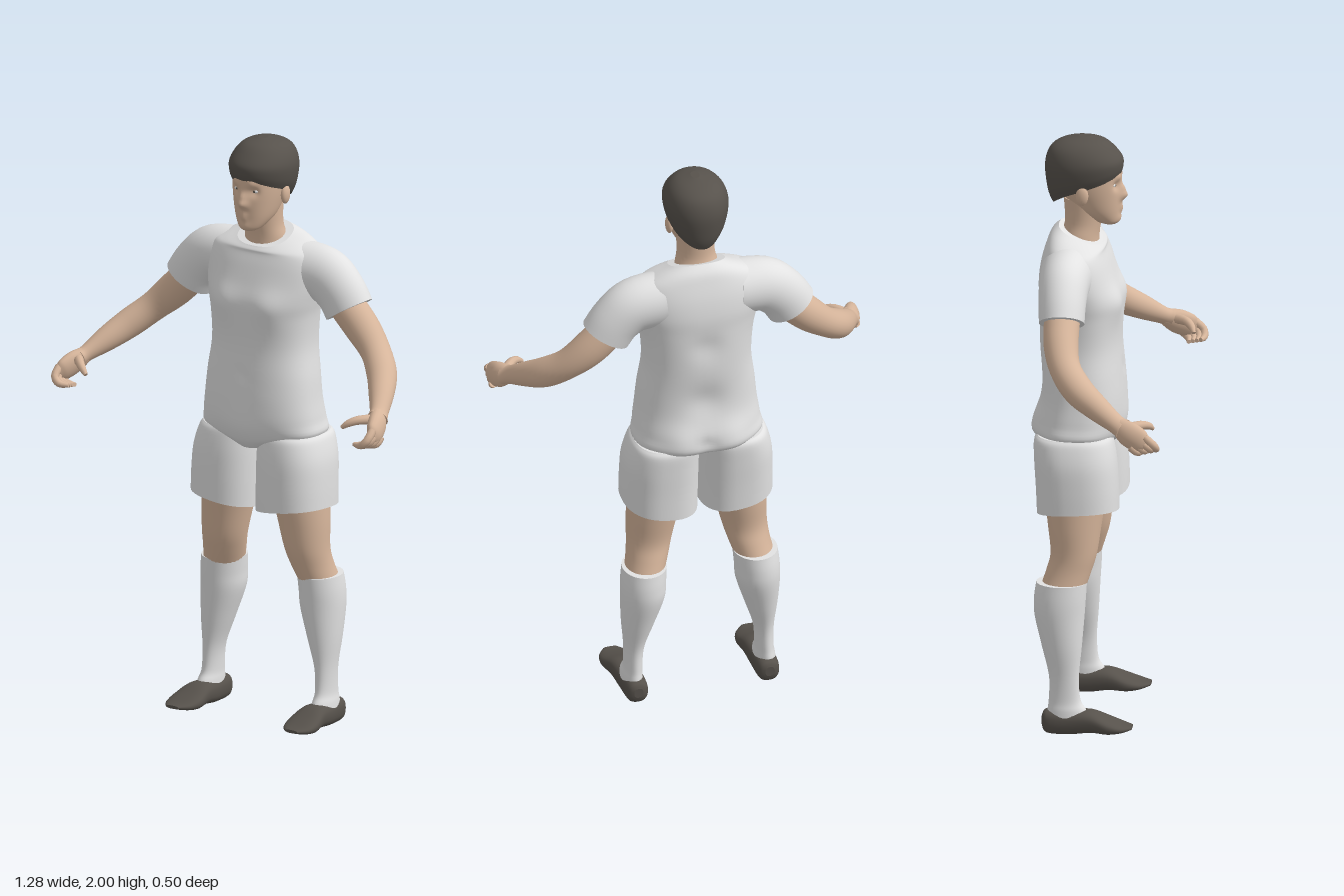
import * as THREE from 'three';

const mat = (name, color, side = THREE.FrontSide) => {
  const m = new THREE.MeshStandardMaterial({ color, side });
  m.name = name;
  return m;
};
const V = (x, y, z) => new THREE.Vector3(x, y, z);

// Smoothly subdivides a list of number rows (Catmull-Rom on every column)
function smooth(rows, n) {
  const out = [];
  const at = (i) => rows[Math.max(0, Math.min(rows.length - 1, i))];
  for (let i = 0; i < rows.length - 1; i++) {
    for (let k = 0; k < n; k++) {
      const t = k / n;
      out.push(rows[i].map((b, c) => {
        const a = at(i - 1)[c], d = at(i + 1)[c], e = at(i + 2)[c];
        return b + 0.5 * t * (d - a + t * (2 * a - 5 * b + 4 * d - e + t * (3 * (b - d) + e - a)));
      }));
    }
  }
  out.push(rows[rows.length - 1]);
  return out;
}

// Skins rings {c, u, v} (u x v points along the travel) and closes both ends
function loft(rings, seg = 32, e = 2) {
  const pos = [], idx = [];
  const pw = (x) => Math.sign(x) * Math.abs(x) ** (2 / e);
  const addRing = ({ c, u, v }) => {
    for (let j = 0; j < seg; j++) {
      const a = (j / seg) * Math.PI * 2;
      const p = c.clone().addScaledVector(u, pw(Math.cos(a))).addScaledVector(v, pw(Math.sin(a)));
      pos.push(p.x, p.y, p.z);
    }
  };
  rings.forEach(addRing);
  for (let i = 0; i < rings.length - 1; i++) {
    for (let j = 0; j < seg; j++) {
      const a = i * seg + j, b = i * seg + (j + 1) % seg;
      idx.push(a, b, a + seg, b, b + seg, a + seg);
    }
  }
  [rings[0], rings[rings.length - 1]].forEach((r, end) => {
    const s = pos.length / 3;
    addRing(r);
    pos.push(r.c.x, r.c.y, r.c.z);
    for (let j = 0; j < seg; j++) {
      const a = s + j, b = s + (j + 1) % seg;
      if (end) idx.push(a, b, s + seg); else idx.push(b, a, s + seg);
    }
  });
  const g = new THREE.BufferGeometry();
  g.setAttribute('position', new THREE.Float32BufferAttribute(pos, 3));
  g.setIndex(idx);
  g.computeVertexNormals();
  return g;
}

// Upright body from low to high: [y, centreX, halfWidth, zFront, zBack, slopeZ, slopeX]
function body(rows, seg, e, n = 5) {
  return loft(smooth(rows.map((r) => [...r, 0, 0].slice(0, 7)), n).map(([y, cx, hw, zf, zb, sz, sx]) => {
    const h = (zf - zb) / 2;
    return { c: V(cx, y, (zf + zb) / 2), u: V(0, sz * h, h), v: V(hw, sx * hw, 0) };
  }), seg, e);
}

// Limb along a path: [x, y, z, radius, radius along ref]
function limb(rows, seg, ref = V(0, 0, 1), n = 5) {
  const p = smooth(rows, n);
  const pt = (i) => V(...p[Math.max(0, Math.min(p.length - 1, i))].slice(0, 3));
  return loft(p.map((r, i) => {
    const t = pt(i + 1).sub(pt(i - 1)).normalize();
    const v = ref.clone().addScaledVector(t, -ref.dot(t)).normalize();
    const u = v.clone().cross(t);
    return { c: pt(i), u: u.multiplyScalar(r[3]), v: v.multiplyScalar(r[4]) };
  }), seg);
}

// Soft pushes: [x, y, z, radius, dx, dy, dz]
function sculpt(g, pushes) {
  const p = g.attributes.position, q = V(0, 0, 0);
  for (let i = 0; i < p.count; i++) {
    q.fromBufferAttribute(p, i);
    const o = q.clone();
    for (const [x, y, z, r, dx, dy, dz] of pushes) {
      const w = Math.exp(-o.distanceToSquared(V(x, y, z)) / (r * r));
      q.add(V(dx, dy, dz).multiplyScalar(w));
    }
    p.setXYZ(i, q.x, q.y, q.z);
  }
  g.computeVertexNormals();
  return g;
}
const both = (rows) => rows.flatMap((r) => [r, [-r[0], ...r.slice(1, 4), -r[4], r[5], r[6]]]);

function mirrored(g) {
  const m = g.clone().scale(-1, 1, 1);
  const a = m.index.array;
  for (let i = 0; i < a.length; i += 3) [a[i], a[i + 1]] = [a[i + 1], a[i]];
  m.computeVertexNormals();
  return m;
}

export function createModel() {
  const root = new THREE.Group();
  root.name = 'standingMan';
  const skin = mat('skin', 0xd6b59b);
  const cloth = mat('whiteCloth', 0xe2e2e2, THREE.DoubleSide);
  const dark = mat('darkBrown', 0x57524c);
  const add = (name, g, m) => {
    const mesh = new THREE.Mesh(g, m);
    mesh.name = name;
    root.add(mesh);
  };
  const pair = (name, g, m) => {
    add(name + 'Left', g, m);
    add(name + 'Right', mirrored(g), m);
  };

  // Shirt body with chest, belly, spine and seat shaping
  const shirt = body([
    [0.955, 0, 0.05, 0.015, -0.12], [0.975, 0, 0.12, 0.03, -0.2], [1.0, 0, 0.213, 0.042, -0.235],
    [1.05, 0, 0.212, 0.055, -0.233], [1.12, 0, 0.203, 0.056, -0.222], [1.2, 0, 0.195, 0.05, -0.22],
    [1.3, 0, 0.182, 0.042, -0.225], [1.4, 0, 0.187, 0.044, -0.228], [1.46, 0, 0.198, 0.042, -0.228],
    [1.52, 0, 0.21, 0.024, -0.228], [1.58, 0, 0.212, 0.005, -0.22], [1.625, 0, 0.195, -0.008, -0.205, -0.1],
    [1.65, 0, 0.15, -0.01, -0.19, -0.25], [1.668, 0, 0.095, -0.02, -0.165, -0.4],
  ], 64, 2.4);
  add('shirt', sculpt(shirt, [
    ...both([[0.09, 1.45, 0.04, 0.06, 0, 0, 0.012], [0.09, 1.03, -0.23, 0.065, 0, 0, -0.016]]),
    [0, 1.02, 0.04, 0.07, 0, -0.01, 0.008], [0, 1.4, -0.23, 0.05, 0, 0, 0.01],
    [0, 1.18, -0.22, 0.06, 0, 0, 0.014], [0, 1.02, -0.23, 0.025, 0, 0, 0.012],
    [0, 1.21, 0.05, 0.014, 0, 0, -0.006],
  ]), cloth);

  // Sleeves
  pair('sleeve', limb([
    [0.13, 1.56, -0.12, 0.095, 0.09], [0.22, 1.55, -0.12, 0.094, 0.083],
    [0.28, 1.505, -0.118, 0.088, 0.078], [0.317, 1.45, -0.115, 0.087, 0.075],
  ], 36), cloth);

  // Shorts, one leg per side with a slanted hem
  pair('shortsLeg', body([
    [0.745, 0.129, 0.126, 0.05, -0.22, 0.07, 0.14], [0.83, 0.128, 0.126, 0.048, -0.224, 0.03, 0.06],
    [0.92, 0.125, 0.124, 0.042, -0.23], [0.985, 0.117, 0.115, 0.03, -0.232],
    [1.005, 0.11, 0.108, 0.02, -0.222],
  ], 40, 2.4), cloth);

  // Arms
  pair('arm', limb([
    [0.29, 1.48, -0.115, 0.06, 0.06], [0.37, 1.4, -0.11, 0.059, 0.058], [0.44, 1.335, -0.087, 0.05, 0.052],
    [0.5, 1.28, -0.035, 0.049, 0.051], [0.545, 1.235, 0.035, 0.041, 0.042],
    [0.58, 1.197, 0.1, 0.028, 0.032], [0.592, 1.185, 0.125, 0.028, 0.036],
  ], 28), skin);

  // Hands: palm, four curled fingers and a thumb
  pair('palm', limb([
    [0.583, 1.192, 0.11, 0.026, 0.03], [0.602, 1.172, 0.145, 0.028, 0.042],
    [0.617, 1.153, 0.185, 0.022, 0.04], [0.622, 1.145, 0.205, 0.012, 0.026],
  ], 20, V(0, 1, 0.7)), skin);
  for (let i = 0; i < 4; i++) {
    const t = i / 3;
    pair('finger' + (i + 1), limb([
      [0.622, 1.168 - 0.035 * t, 0.2 - 0.045 * t, 0.014, 0.014],
      [0.62, 1.142 - 0.026 * t, 0.23 - 0.055 * t, 0.013, 0.013],
      [0.598, 1.122 - 0.01 * t, 0.236 - 0.05 * t, 0.012, 0.012],
      [0.567, 1.12 - 0.008 * t, 0.228 - 0.04 * t, 0.007, 0.007],
    ], 10, V(0, 1, 1), 3), skin);
  }
  pair('thumb', limb([
    [0.592, 1.185, 0.135, 0.018, 0.018], [0.555, 1.188, 0.18, 0.015, 0.015],
    [0.528, 1.178, 0.203, 0.012, 0.012], [0.508, 1.163, 0.213, 0.007, 0.007],
  ], 10, V(0, 1, 1), 3), skin);

  // Legs, socks
  pair('leg', body([
    [0.49, 0.19, 0.066, -0.055, -0.205], [0.55, 0.174, 0.07, -0.035, -0.185],
    [0.61, 0.163, 0.076, -0.018, -0.172], [0.7, 0.152, 0.086, -0.005, -0.182],
    [0.8, 0.138, 0.095, 0.01, -0.195],
  ], 32, 2), skin);
  pair('sock', body([
    [0.05, 0.228, 0.037, -0.03, -0.178], [0.085, 0.227, 0.034, -0.045, -0.174], [0.12, 0.225, 0.03, -0.065, -0.17],
    [0.2, 0.222, 0.034, -0.07, -0.17], [0.3, 0.211, 0.055, -0.062, -0.195], [0.4, 0.198, 0.073, -0.055, -0.22],
    [0.46, 0.195, 0.075, -0.051, -0.223], [0.515, 0.19, 0.074, -0.048, -0.216],
  ], 32, 2), cloth);

  // Shoes, lofted heel to toe: [z, centreX, halfWidth, bottom, top]
  pair('shoe', loft(smooth([
    [-0.192, 0.225, 0.016, 0.03, 0.065], [-0.175, 0.225, 0.036, 0.004, 0.084], [-0.1, 0.226, 0.042, 0.002, 0.083],
    [-0.03, 0.228, 0.05, 0.012, 0.085], [0.03, 0.231, 0.059, 0.012, 0.063],
    [0.075, 0.234, 0.05, 0.02, 0.047], [0.108, 0.236, 0.024, 0.03, 0.041],
  ], 4).map(([z, cx, hw, b, t]) => (
    { c: V(cx, (b + t) / 2, z), u: V(hw, 0, 0), v: V(0, (t - b) / 2, 0) })), 28, 2.5), dark);

  // Neck and head with nose, brow, lips, chin and eye sockets
  add('neck', body([
    [1.6, 0, 0.08, -0.03, -0.165], [1.66, 0, 0.073, -0.032, -0.158], [1.71, 0, 0.063, -0.025, -0.146],
    [1.79, 0, 0.064, -0.01, -0.15],
  ], 32, 2), skin);
  const head = body([
    [1.703, 0, 0.024, 0.024, -0.02], [1.715, 0, 0.042, 0.033, -0.05], [1.75, 0, 0.064, 0.037, -0.11],
    [1.8, 0, 0.078, 0.04, -0.15], [1.85, 0, 0.086, 0.042, -0.18], [1.9, 0, 0.088, 0.038, -0.19],
    [1.95, 0, 0.075, 0.015, -0.17], [1.985, 0, 0.035, -0.03, -0.12],
  ], 80, 2.1, 9);
  add('head', sculpt(head, [
    [0, 1.8, 0.042, 0.017, 0, 0, 0.022], [0, 1.825, 0.042, 0.014, 0, 0, 0.01],
    [0, 1.762, 0.04, 0.013, 0, 0, 0.007], [0, 1.748, 0.038, 0.01, 0, 0, 0.005],
    [0, 1.72, 0.033, 0.02, 0, 0, 0.006],
    ...both([[0.034, 1.842, 0.03, 0.017, 0, 0, -0.011], [0.03, 1.868, 0.033, 0.015, 0, 0, 0.005]]),
  ]), skin);
  const ball = (x, y, z, sx, sy, sz) => new THREE.SphereGeometry(1, 18, 12).scale(sx, sy, sz).translate(x, y, z);
  pair('ear', ball(0.088, 1.818, -0.078, 0.013, 0.033, 0.021).rotateY(0), skin);
  pair('eye', ball(0.034, 1.843, 0.021, 0.012, 0.006, 0.006), cloth);
  pair('iris', ball(0.034, 1.843, 0.0255, 0.004, 0.004, 0.003), dark);

  // Short hair cap, lower at the nape
  const hair = body([
    [1.835, 0, 0.088, 0.04, -0.185, 0.35], [1.865, 0, 0.101, 0.047, -0.203, 0.27],
    [1.915, 0, 0.107, 0.045, -0.212, 0.1], [1.958, 0, 0.092, 0.022, -0.196], [1.986, 0, 0.062, -0.012, -0.158],
    [2.0, 0, 0.015, -0.06, -0.1],
  ], 48, 2.1);
  add('hair', sculpt(hair, [[0, 1.795, -0.17, 0.06, 0, -0.028, 0]]), dark);

  return root;
}
